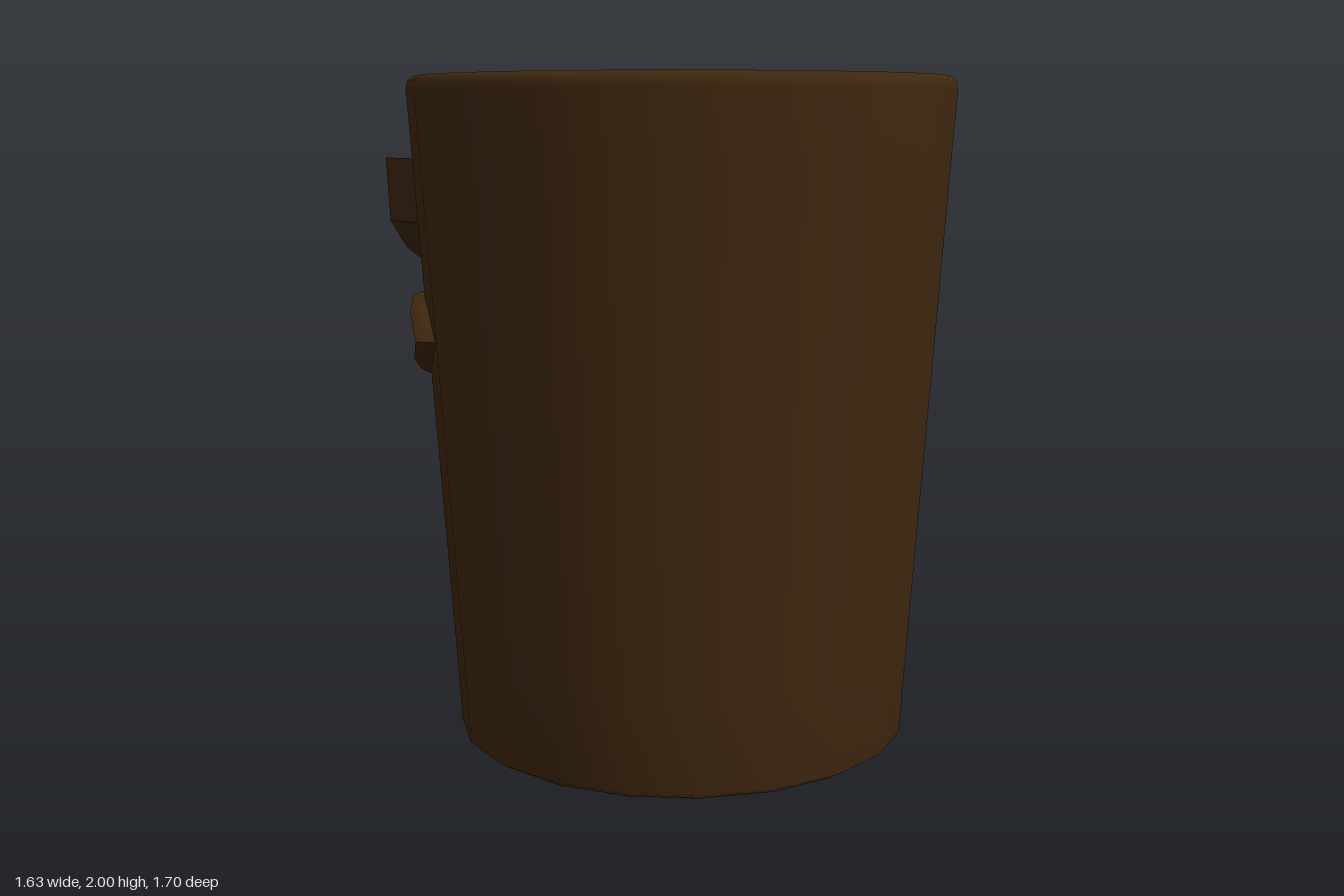
import * as THREE from 'three';
import { toCreasedNormals } from 'three/addons/utils/BufferGeometryUtils.js';

const wood = new THREE.MeshStandardMaterial({ color: 0x40280f });
wood.name = 'dark brown';
const drink = new THREE.MeshStandardMaterial({ color: 0xa0a0a0 });
drink.name = 'grey';

const CUP_Z = 0.035; // cup axis; the face grows out of the -z side
const radius = (y) => 0.685 + 0.067 * y;

// point on the cup wall by angle from -z, height and relief
const wrap = (a, y, d) => {
  const r = radius(y) + d;
  return new THREE.Vector3(r * Math.sin(a), y, CUP_Z - r * Math.cos(a));
};
// same, addressed by x
const wrapX = (x, y, d) => wrap(Math.asin(x / (radius(y) + d)), y, d);

// closed solid through rings of points, capped at both ends
function loft(rings, crease = 0.7) {
  const n = rings[0].length;
  const centre = (ring) => ring.reduce((s, p) => s.add(p), new THREE.Vector3()).divideScalar(n);
  const pts = [...rings.flat(), centre(rings[0]), centre(rings.at(-1))];
  const last = (rings.length - 1) * n;
  const tris = [];
  for (let j = 0; j < n; j++) {
    const k = (j + 1) % n;
    for (let o = 0; o < last; o += n) {
      tris.push([o + j, o + k, o + n + k], [o + j, o + n + k, o + n + j]);
    }
    tris.push([k, j, pts.length - 2], [last + j, last + k, pts.length - 1]);
  }
  // turn the faces outward when the enclosed volume is negative
  const c = centre(rings[0]);
  const rel = pts.map((p) => p.clone().sub(c));
  const volume = tris.reduce((s, [p, q, r]) => s + rel[p].dot(rel[q].clone().cross(rel[r])), 0);
  if (volume < 0) tris.forEach((t) => t.reverse());
  const g = new THREE.BufferGeometry().setFromPoints(pts);
  g.setIndex(tris.flat());
  return toCreasedNormals(g, crease);
}

// carved shape: outline blends to an inner outline through [blend, relief] levels
const relief = (outer, inner, levels, place) =>
  loft(levels.map(([t, d]) => outer.map(([u, y], i) =>
    place(u + (inner[i][0] - u) * t, y + (inner[i][1] - y) * t, d))));

// full outline from its right half, listed top to bottom
const mirrorOutline = (half) => [...half, ...half.slice(1, -1).reverse().map(([x, y]) => [-x, y])];

export function createModel() {
  const group = new THREE.Group();
  const add = (name, geometry, material = wood) => {
    const mesh = new THREE.Mesh(geometry, material);
    mesh.name = name;
    group.add(mesh);
    return mesh;
  };

  // cup with rounded rim
  const profile = [
    [0, 0], [0.66, 0.002], [0.687, 0.02], [0.705, 0.3], [0.802, 1.75], [0.817, 1.96], [0.812, 1.985],
    [0.795, 2], [0.755, 2], [0.732, 1.985], [0.722, 1.96], [0.712, 1.86],
  ].map(([r, y]) => new THREE.Vector2(r, y));
  add('cup', new THREE.LatheGeometry(profile, 20)).position.z = CUP_Z;

  // liquid surface
  const liquid = add('liquid', new THREE.CircleGeometry(0.716, 20).rotateX(-Math.PI / 2), drink);
  liquid.position.set(0, 1.89, CUP_Z);

  // V-shaped brow: x, top, bottom
  const brow = [[0.64, 1.76, 1.57], [0.53, 1.69, 1.48], [0.4, 1.61, 1.41], [0.27, 1.53, 1.33], [0.13, 1.45, 1.26]];
  const stations = [...brow, [0, 1.375, 1.19], ...brow.map(([x, t, b]) => [-x, t, b]).reverse()];
  add('brow', loft(stations.map(([x, t, b]) => [
    wrapX(x, b, -0.03), wrapX(x, t, -0.03), wrapX(x, t, 0.1), wrapX(x, b, 0.1),
  ]), 0.5));

  // nose with flared nostrils: y, then half widths and depths from wall to front
  const nose = [
    [1.34, [0.1, -0.6], [0.1, -0.78], [0.07, -0.85]],
    [0.88, [0.1, -0.58], [0.1, -0.76], [0.07, -0.825]],
    [0.76, [0.24, -0.56], [0.24, -0.7], [0.1, -0.815]],
    [0.685, [0.3, -0.56], [0.31, -0.67], [0.12, -0.812]],
  ];
  add('nose', loft(nose.map(([y, ...half]) => [
    ...half.map(([x, z]) => new THREE.Vector3(x, y, z)),
    ...half.map(([x, z]) => new THREE.Vector3(-x, y, z)).reverse(),
  ]), 0.5));

  // almond eyes: raised lid, groove and eyeball (angle, height)
  const almond = [
    [1.22, 1.235], [1.05, 1.32], [0.85, 1.36], [0.65, 1.355], [0.48, 1.3],
    [0.36, 1.2], [0.45, 1.13], [0.62, 1.095], [0.82, 1.1], [1.05, 1.16],
  ];
  const eyeLevels = [[0, -0.03], [0.03, 0.02], [0.12, 0.045], [0.24, 0.03], [0.32, 0.012], [0.37, 0.02], [0.5, 0.04], [0.8, 0.05]];
  for (const side of [1, -1]) {
    const outline = almond.map(([a, y]) => [a * side, y]);
    const middle = outline.map(() => [0.72 * side, 1.23]);
    add(side > 0 ? 'leftEye' : 'rightEye', relief(outline, middle, eyeLevels, wrap));
  }

  // lips around a recessed mouth
  const lipOuter = mirrorOutline([
    [0, 0.54], [0.15, 0.58], [0.28, 0.65], [0.38, 0.67], [0.5, 0.49], [0.42, 0.33], [0.3, 0.25], [0.15, 0.32], [0, 0.36],
  ]);
  const lipInner = mirrorOutline([
    [0, 0.505], [0.12, 0.515], [0.22, 0.54], [0.31, 0.545], [0.35, 0.47], [0.33, 0.41], [0.27, 0.37], [0.13, 0.38], [0, 0.395],
  ]);
  add('lips', relief(lipOuter, lipInner, [[0, -0.03], [0.08, 0.02], [0.5, 0.065], [0.88, 0.08], [1, 0.05]], wrapX));

  // two rows of teeth following the wall
  const tooth = new THREE.BoxGeometry(0.088, 0.068, 0.06);
  for (const y of [0.487, 0.413]) {
    for (let i = 0; i < 6; i++) {
      const a = (i - 2.5) * 0.135;
      const mesh = add('tooth', tooth);
      mesh.position.copy(wrap(a, y, 0.055));
      mesh.rotation.y = -a;
    }
  }
  return group;
}
